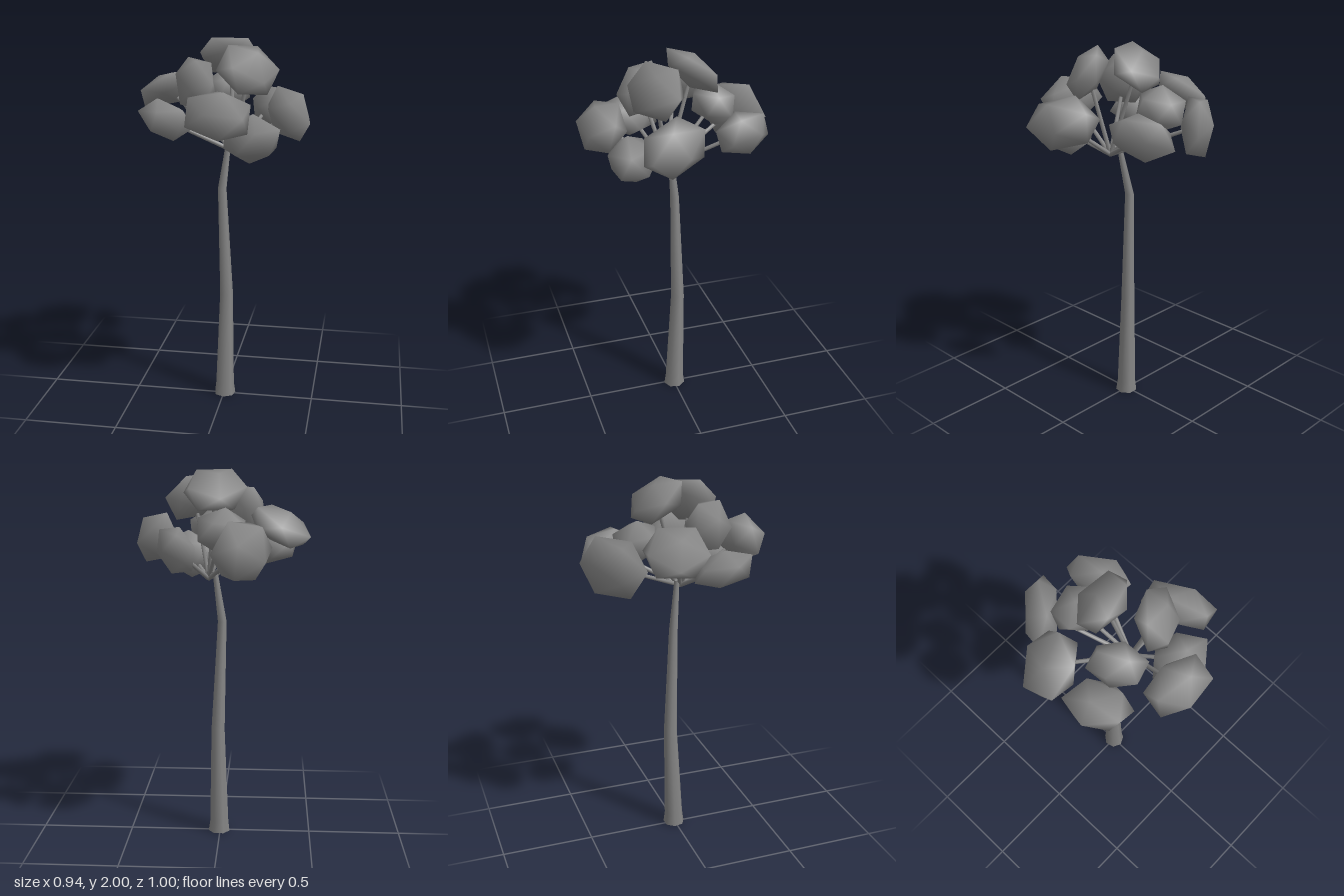
import * as THREE from 'three';
import { mergeVertices } from 'three/addons/utils/BufferGeometryUtils.js';

const grey = new THREE.MeshStandardMaterial({ color: 0x888888 });
grey.name = 'plain grey';

// small seeded random for turning the clumps
function makeRandom(seed) {
  let s = seed;
  return () => (s = (s * 16807) % 2147483647) / 2147483647;
}

// smooth icosahedron, sheared and sized to given half extents;
// lean = how strongly xy, xz and yz go together (-1 to 1)
function clumpGeometry(half, [xy, xz, yz], random) {
  const ball = new THREE.IcosahedronGeometry(1, 0);
  ball.deleteAttribute('normal');
  ball.deleteAttribute('uv');
  const g = mergeVertices(ball, 1e-3);
  g.rotateX(random() * 6.28).rotateY(random() * 6.28).rotateZ(random() * 6.28);
  const b = Math.sqrt(1 - xy * xy);
  const c = (yz - xy * xz) / b;
  const d = Math.sqrt(1 - xz * xz - c * c);
  g.applyMatrix4(new THREE.Matrix4().set(
    1, 0, 0, 0,
    xy, b, 0, 0,
    xz, c, d, 0,
    0, 0, 0, 1,
  ));
  g.computeBoundingBox();
  const m = g.boundingBox.max;
  g.scale(half[0] / m.x, half[1] / m.y, half[2] / m.z);
  g.computeVertexNormals();
  return g;
}

// bent, tapering trunk from cross-sections [x, y, z, radius]
function trunkGeometry() {
  const rings = [
    [0.005, 0, -0.003, 0.06], [0.004, 0.06, -0.004, 0.052], [0.01, 0.6, -0.02, 0.037],
    [-0.012, 1.2, -0.01, 0.024], [0.028, 1.46, 0.024, 0.014],
  ];
  const last = rings.length - 1;
  const g = new THREE.CylinderGeometry(1, 1, 1, 7, last);
  const p = g.attributes.position;
  for (let i = 0; i < p.count; i++) {
    const [x, y, z, r] = rings[Math.round((0.5 + p.getY(i)) * last)];
    p.setXYZ(i, x + p.getX(i) * r, y, z + p.getZ(i) * r);
  }
  return g;
}

export function createModel() {
  const tree = new THREE.Group();
  tree.name = 'tree';
  const add = (geometry, name) => {
    const mesh = new THREE.Mesh(geometry, grey);
    mesh.name = name;
    tree.add(mesh);
    return mesh;
  };
  add(trunkGeometry(), 'trunk');

  // foliage clumps: centre, half extents, lean
  const clumps = [
    [[-0.127, 1.613, -0.367], [0.148, 0.15, 0.133], [0, -0.65, 0]],
    [[0.205, 1.61, -0.30], [0.105, 0.112, 0.165], [0.2, 0.48, 0.1]],
    [[-0.02, 1.70, -0.22], [0.12, 0.115, 0.115], [0, 0, 0.2]],
    [[0.02, 1.898, -0.092], [0.163, 0.102, 0.122], [0, -0.2, 0.6]],
    [[-0.318, 1.715, -0.105], [0.153, 0.102, 0.145], [0.5, -0.2, 0.25]],
    [[-0.277, 1.595, 0.16], [0.138, 0.108, 0.15], [-0.2, 0.2, 0.1]],
    [[-0.123, 1.78, 0.137], [0.108, 0.125, 0.128], [0, 0.35, -0.1]],
    [[0.145, 1.853, 0.135], [0.15, 0.125, 0.125], [-0.25, -0.45, -0.2]],
    [[0.35, 1.635, 0.103], [0.12, 0.135, 0.157], [-0.15, 0.42, -0.05]],
    [[0.182, 1.53, 0.27], [0.148, 0.13, 0.13], [0.1, 0.15, 0.1]],
    [[0.032, 1.66, 0.383], [0.157, 0.12, 0.118], [-0.05, 0.1, -0.12]],
  ];
  const up = new THREE.Vector3(0, 1, 0);
  const fork = new THREE.Vector3(0.065, 1.42, 0.055);
  const random = makeRandom(77);
  clumps.forEach(([c, half, lean], i) => {
    const centre = new THREE.Vector3(...c);
    add(clumpGeometry(half, lean, random), 'foliageClump' + (i + 1)).position.copy(centre);

    // thin branch from the fork to the clump
    const span = centre.clone().sub(fork);
    const branch = add(new THREE.CylinderGeometry(0.01, 0.012, span.length(), 6), 'branch' + (i + 1));
    branch.position.copy(fork).addScaledVector(span, 0.5);
    branch.quaternion.setFromUnitVectors(up, span.normalize());
  });
  return tree;
}
